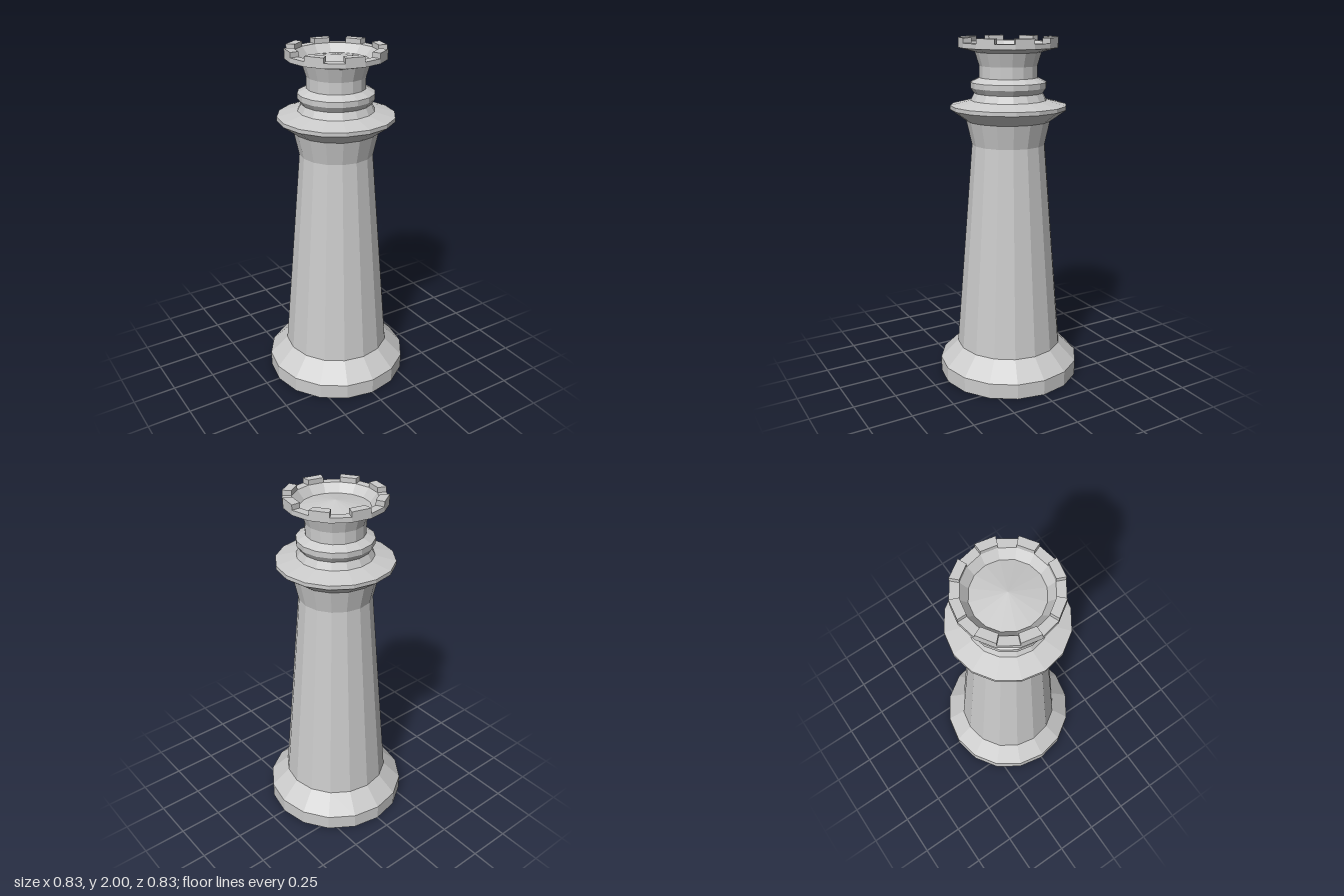
import * as THREE from 'three';

const SIDES = 16;
const STEP = (Math.PI * 2) / SIDES;
const material = new THREE.MeshStandardMaterial({ color: 0xcccccc, flatShading: true });

function part(name, geometry) {
  const mesh = new THREE.Mesh(geometry, material);
  mesh.name = name;
  return mesh;
}

// Turned part from [radius, height] pairs, listed from the bottom up
function turned(name, profile) {
  const points = profile.map(([r, y]) => new THREE.Vector2(r, y));
  return part(name, new THREE.LatheGeometry(points, SIDES));
}

// Raised block filling one side of the rim
function merlon(index, inner, outer, bottom, top) {
  const a = index * STEP;
  const at = (r, angle) => new THREE.Vector2(r * Math.sin(angle), -r * Math.cos(angle));
  const shape = new THREE.Shape([at(inner, a), at(outer, a), at(outer, a + STEP), at(inner, a + STEP)]);
  const geometry = new THREE.ExtrudeGeometry(shape, { depth: top - bottom, bevelEnabled: false });
  geometry.rotateX(-Math.PI / 2);
  geometry.translate(0, bottom, 0);
  return part('merlon', geometry);
}

export function createModel() {
  const model = new THREE.Group();
  model.name = 'chessRook';

  model.add(
    turned('base', [[0, 0], [0.415, 0], [0.415, 0.09], [0.31, 0.195]]),
    turned('shaft', [[0.31, 0.195], [0.21, 1.405], [0.24, 1.54]]),
    turned('collar', [[0.24, 1.54], [0.33, 1.605], [0.33, 1.627], [0.215, 1.655], [0.195, 1.695]]),
    turned('neckRing', [[0.195, 1.695], [0.215, 1.725], [0.215, 1.755], [0.165, 1.78]]),
    turned('neck', [[0.165, 1.78], [0.165, 1.845], [0.188, 1.92]]),
    // Flared cup with a shallow cone as its floor
    turned('cup', [[0.188, 1.92], [0.28, 1.945], [0.28, 1.972], [0.23, 1.972], [0.19, 1.925], [0, 1.96]])
  );

  // Battlements on every second side
  const battlements = new THREE.Group();
  battlements.name = 'battlements';
  for (let i = 1; i < SIDES; i += 2) battlements.add(merlon(i, 0.23, 0.28, 1.972, 2));
  model.add(battlements);

  return model;
}
